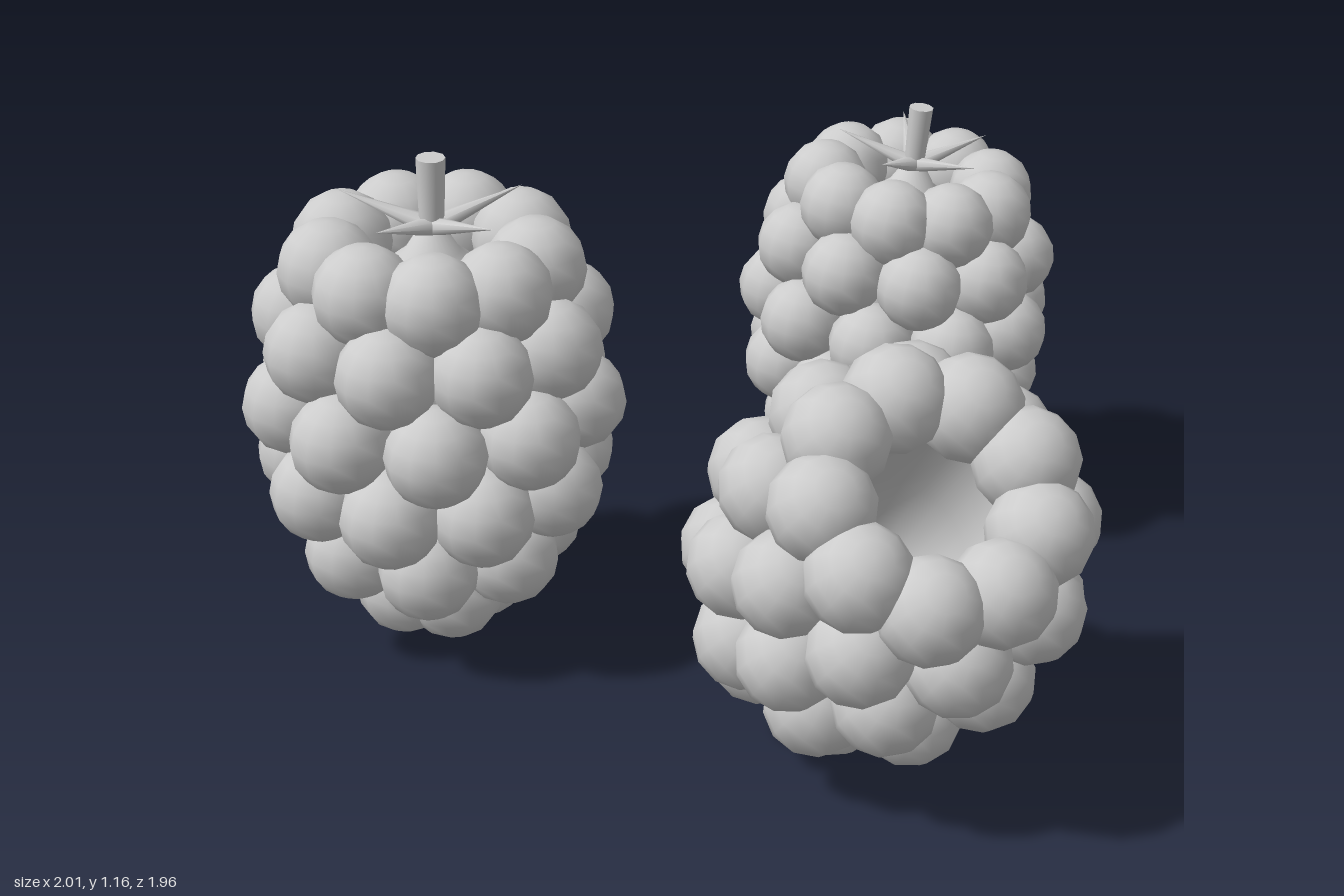
import * as THREE from 'three';

const grey = new THREE.MeshStandardMaterial({ color: 0xcccccc, side: THREE.DoubleSide });
grey.name = 'plain grey';

// rings of drupelets from the mouth to the tip: [height, ring radius, count]
const RINGS = [
  [0.395, 0.225, 9],
  [0.25, 0.291, 9],
  [0.08, 0.313, 9],
  [-0.09, 0.291, 9],
  [-0.255, 0.217, 7],
  [-0.38, 0.093, 5],
];

function add(parent, geometry, name) {
  const mesh = new THREE.Mesh(geometry, grey);
  mesh.name = name;
  parent.add(mesh);
  return mesh;
}

function lathe(points) {
  return new THREE.LatheGeometry(points.map(([x, y]) => new THREE.Vector2(x, y)), 24);
}

const drupeletGeometry = new THREE.SphereGeometry(0.112, 12, 8);

// slightly flattened spike lying along +x, tip raised
const sepalGeometry = new THREE.ConeGeometry(0.028, 0.2, 8);
sepalGeometry.translate(0, 0.1, 0);
sepalGeometry.scale(0.7, 1, 1);
sepalGeometry.rotateZ(-Math.PI / 2 + 0.3);
sepalGeometry.translate(0.018, 0, 0);

// phase 0 or 0.5 chooses which rings have a drupelet straight ahead
function berry(name, hasStem, phase) {
  const group = new THREE.Group();
  group.name = name;

  // bumpy body, each ring staggered against the one above
  const drupelets = new THREE.Group();
  drupelets.name = 'drupelets';
  group.add(drupelets);
  RINGS.forEach(([y, radius, count], row) => {
    for (let i = 0; i < count; i++) {
      const a = ((i + phase + row / 2) / count) * Math.PI * 2;
      const ball = add(drupelets, drupeletGeometry, 'drupelet');
      ball.position.set(Math.sin(a) * radius, y, Math.cos(a) * radius);
      ball.rotation.y = a;
    }
  });

  // smooth cavity wall
  add(group, lathe([[0, -0.23], [0.06, -0.215], [0.11, -0.16], [0.15, -0.05], [0.168, 0.08], [0.172, 0.25], [0.175, 0.37]]), 'cavity');

  if (hasStem) {
    // plug, stalk and five-pointed leaf star
    add(group, lathe([[0.175, 0.33], [0.12, 0.37], [0.06, 0.42], [0.03, 0.47], [0, 0.48]]), 'receptacle');
    const stalk = add(group, new THREE.CylinderGeometry(0.032, 0.026, 0.18, 10), 'stalk');
    stalk.position.y = 0.545;
    for (let i = 0; i < 5; i++) {
      const sepal = add(group, sepalGeometry, 'sepal');
      sepal.position.y = 0.48;
      sepal.rotation.y = (i / 5) * Math.PI * 2;
    }
  }
  return group;
}

export function createModel() {
  const model = new THREE.Group();
  model.name = 'berries';

  const large = berry('largeBerry', true, 0.5);
  large.position.set(-0.58, 0.53, -0.48);
  large.rotation.set(0.07, 0, 0);

  const small = berry('smallBerry', true, 0);
  small.position.set(0.63, 0.495, -0.61);
  small.rotation.set(0.09, 0, -0.07);
  small.scale.setScalar(0.89);

  // picked berry lying on its side, open end up and forward
  const hollow = berry('hollowBerry', false, 0.5);
  hollow.position.set(0.045, 0.45, 0.445);
  hollow.rotation.set(Math.PI / 4, 0, 0.07);

  model.add(large, small, hollow);
  return model;
}
